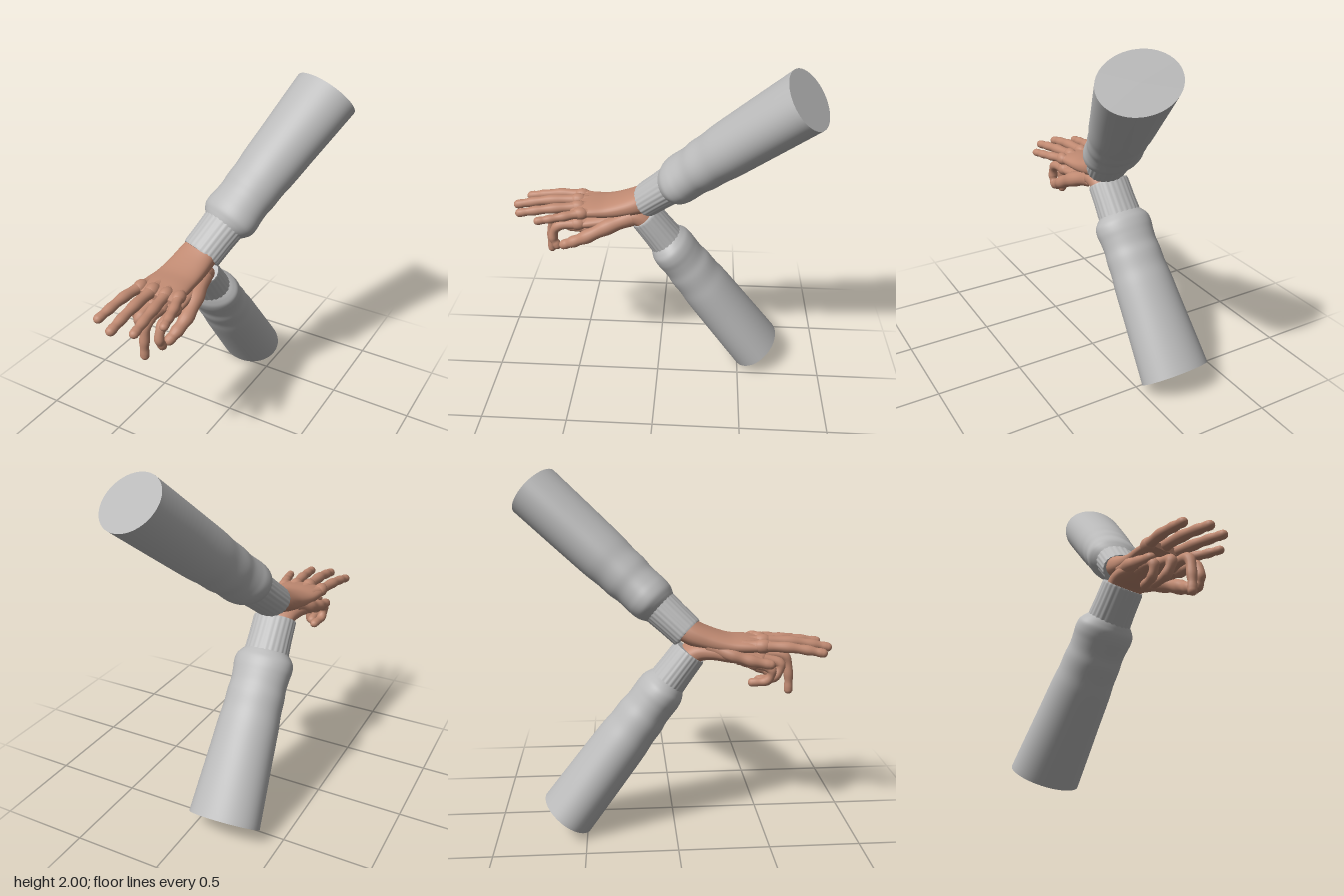
import * as THREE from 'three';

const sleeveGrey = new THREE.MeshStandardMaterial({ name: 'sleeveGrey', color: 0xbababa });
const skin = new THREE.MeshStandardMaterial({ name: 'skin', color: 0xc08a72 });
const X = new THREE.Vector3(1, 0, 0);
const V = (p) => new THREE.Vector3(p[0], p[1], p[2]);

// Skin a list of elliptical rings {p, t, a, b}; a runs sideways, b across.
function loft(rings, seg, { power = 1, rib = 0, caps = true } = {}) {
  const pos = [], idx = [];
  const shape = (v) => Math.sign(v) * Math.abs(v) ** power;
  for (const { p, t, a, b } of rings) {
    const s = X.clone().addScaledVector(t, -X.dot(t)).normalize();
    const u = new THREE.Vector3().crossVectors(t, s);
    for (let j = 0; j < seg; j++) {
      const w = (j / seg) * Math.PI * 2;
      const k = 1 - rib * (Math.floor(j / 2) % 2);
      const v = p.clone().addScaledVector(s, a * k * shape(Math.cos(w))).addScaledVector(u, b * k * shape(Math.sin(w)));
      pos.push(v.x, v.y, v.z);
    }
  }
  const n = rings.length;
  for (let i = 0; i < n - 1; i++) {
    for (let j = 0; j < seg; j++) {
      const k = (j + 1) % seg;
      const A = i * seg + j, B = i * seg + k, C = A + seg, D = B + seg;
      idx.push(A, B, D, A, D, C);
    }
  }
  // Flat ends use their own vertices so the rim stays sharp
  if (caps) {
    for (const row of [0, n - 1]) {
      const c = pos.length / 3;
      pos.push(...rings[row].p.toArray());
      for (let j = 0; j < seg; j++) pos.push(...pos.slice((row * seg + j) * 3, (row * seg + j) * 3 + 3));
      for (let j = 0; j < seg; j++) {
        const A = c + 1 + j, B = c + 1 + ((j + 1) % seg);
        if (row) idx.push(c, A, B); else idx.push(c, B, A);
      }
    }
  }
  const g = new THREE.BufferGeometry();
  g.setAttribute('position', new THREE.Float32BufferAttribute(pos, 3));
  g.setIndex(idx);
  g.computeVertexNormals();
  return g;
}

// Smoothly interpolate a row of [key, a, b] values
function profile(rows) {
  const curve = new THREE.CatmullRomCurve3(rows.map(V), false, 'centripetal');
  return curve.getPoints(rows.length * 5);
}

function add(group, name, geometry, material) {
  const mesh = new THREE.Mesh(geometry, material);
  mesh.name = name;
  group.add(mesh);
}

// Sleeve with a ribbed cuff, gathered fold and flat shoulder end
function sleeve(name, from, to) {
  const g = new THREE.Group();
  g.name = name;
  const a = V(from), axis = V(to).sub(a), t = axis.clone().normalize();
  const ring = (r) => ({ p: a.clone().addScaledVector(axis, r.x), t, a: r.y, b: r.z });
  const cuff = [[0, 0.122, 0.093], [0.01, 0.126, 0.097], [0.1, 0.127, 0.1], [0.2, 0.132, 0.106]];
  add(g, 'ribbedCuff', loft(cuff.map(V).map(ring), 96, { rib: 0.02 }), sleeveGrey);
  const body = [[0.17, 0.127, 0.1], [0.19, 0.15, 0.113], [0.215, 0.169, 0.126], [0.25, 0.173, 0.132],
    [0.29, 0.167, 0.132], [0.34, 0.163, 0.132], [0.39, 0.167, 0.14], [0.46, 0.168, 0.141], [0.53, 0.175, 0.148],
    [0.68, 0.184, 0.153], [0.85, 0.196, 0.157], [1, 0.206, 0.16]];
  add(g, 'sleeveBody', loft(profile(body).map(ring), 56), sleeveGrey);
  return g;
}

// Tapered finger with slightly swollen joints and a rounded tip
function finger(points, r0, r1) {
  const curve = new THREE.CatmullRomCurve3(points.map(V), false, 'centripetal');
  const rings = [], N = 30, joints = points.length - 1;
  for (let i = 0; i <= N; i++) {
    const s = i / N;
    const swell = 1 + 0.07 * Math.cos(s * joints * Math.PI * 2);
    const r = (r0 + (r1 - r0) * s) * (s > 0.9 ? 1.04 : swell);
    rings.push({ p: curve.getPoint(s), t: curve.getTangent(s), a: r, b: r * 0.95 });
  }
  const end = rings[N];
  for (let i = 1; i <= 6; i++) {
    const w = (i / 6) * Math.PI * 0.495;
    rings.push({ p: end.p.clone().addScaledVector(end.t, end.a * Math.sin(w)), t: end.t,
      a: end.a * Math.cos(w), b: end.b * Math.cos(w) });
  }
  return loft(rings, 16, { caps: false });
}

// Palm and wrist rows are [x, y, z, halfWidth, halfThickness]
function hand(name, palm, fingers) {
  const g = new THREE.Group();
  g.name = name;
  const path = new THREE.CatmullRomCurve3(palm.map(V));
  const size = new THREE.CatmullRomCurve3(palm.map((r) => new THREE.Vector3(r[3], r[4], 0)));
  const rings = [];
  for (let i = 0; i <= 36; i++) {
    const s = size.getPoint(i / 36);
    rings.push({ p: path.getPoint(i / 36), t: path.getTangent(i / 36), a: s.x, b: s.y });
  }
  add(g, 'palm', loft(rings, 40, { power: 0.85 }), skin);
  for (const [part, pts, r0, r1] of fingers) {
    add(g, part, finger(pts, r0, r1), skin);
    if (part === 'thumb') continue;
    // Knuckle at the root of each finger
    const k = new THREE.SphereGeometry(r0 * 1.12, 16, 12);
    k.scale(1, 1, 1.35);
    k.translate(pts[1][0], pts[1][1], pts[1][2]);
    add(g, part + 'Knuckle', k, skin);
  }
  return g;
}

export function createModel() {
  const model = new THREE.Group();
  model.name = 'crossedArms';

  model.add(sleeve('upperSleeve', [-0.143, 1.137, 0.075], [0.197, 1.88, -0.76]));
  model.add(sleeve('lowerSleeve', [-0.155, 1.035, 0.085], [-0.19, 0.105, -0.608]));

  // Upper hand lies flat with the fingers spread
  model.add(hand('upperHand', [
    [-0.11, 1.2, 0.01, 0.1, 0.07], [-0.145, 1.14, 0.1, 0.114, 0.068], [-0.155, 1.105, 0.2, 0.122, 0.058],
    [-0.162, 1.085, 0.3, 0.128, 0.048], [-0.165, 1.082, 0.4, 0.138, 0.042], [-0.165, 1.08, 0.47, 0.138, 0.034],
    [-0.165, 1.078, 0.51, 0.125, 0.018],
  ], [
    ['indexFinger', [[-0.25, 1.085, 0.36], [-0.275, 1.088, 0.47], [-0.295, 1.085, 0.6], [-0.305, 1.07, 0.71], [-0.314, 1.055, 0.79]], 0.035, 0.025],
    ['middleFinger', [[-0.19, 1.09, 0.36], [-0.192, 1.095, 0.48], [-0.192, 1.09, 0.64], [-0.192, 1.072, 0.76], [-0.192, 1.055, 0.845]], 0.036, 0.026],
    ['ringFinger', [[-0.13, 1.09, 0.36], [-0.112, 1.09, 0.47], [-0.093, 1.085, 0.61], [-0.082, 1.073, 0.72], [-0.073, 1.06, 0.81]], 0.035, 0.025],
    ['littleFinger', [[-0.075, 1.08, 0.35], [-0.045, 1.082, 0.45], [-0.015, 1.075, 0.54], [0.005, 1.066, 0.62], [0.02, 1.06, 0.685]], 0.032, 0.023],
    ['thumb', [[-0.22, 1.08, 0.18], [-0.268, 1.04, 0.31], [-0.288, 1.01, 0.41], [-0.295, 0.99, 0.51]], 0.045, 0.027],
  ]));

  // Lower hand sits beneath it with the fingers curling down
  model.add(hand('lowerHand', [
    [-0.155, 0.975, 0.04, 0.1, 0.065], [-0.155, 1.04, 0.12, 0.11, 0.058], [-0.16, 1.045, 0.2, 0.118, 0.048],
    [-0.162, 1.025, 0.3, 0.125, 0.042], [-0.163, 1.01, 0.4, 0.13, 0.038], [-0.165, 1.0, 0.47, 0.125, 0.03],
  ], [
    ['indexFinger', [[-0.09, 1.01, 0.36], [-0.065, 1.005, 0.47], [-0.06, 0.985, 0.59], [-0.062, 0.91, 0.62], [-0.06, 0.86, 0.6]], 0.034, 0.025],
    ['middleFinger', [[-0.14, 1.01, 0.37], [-0.135, 1.005, 0.48], [-0.135, 0.99, 0.62], [-0.14, 0.89, 0.645], [-0.142, 0.797, 0.648]], 0.035, 0.025],
    ['ringFinger', [[-0.19, 1.01, 0.36], [-0.205, 1, 0.46], [-0.215, 0.97, 0.58], [-0.225, 0.9, 0.55], [-0.23, 0.885, 0.46]], 0.034, 0.026],
    ['littleFinger', [[-0.24, 1.01, 0.34], [-0.265, 0.99, 0.43], [-0.28, 0.955, 0.52], [-0.275, 0.895, 0.5], [-0.262, 0.882, 0.42]], 0.031, 0.024],
    ['thumb', [[-0.08, 1.05, 0.16], [-0.04, 1.0, 0.3], [-0.025, 0.94, 0.42], [-0.033, 0.9, 0.5], [-0.045, 0.873, 0.555]], 0.052, 0.029],
  ]));

  return model;
}
